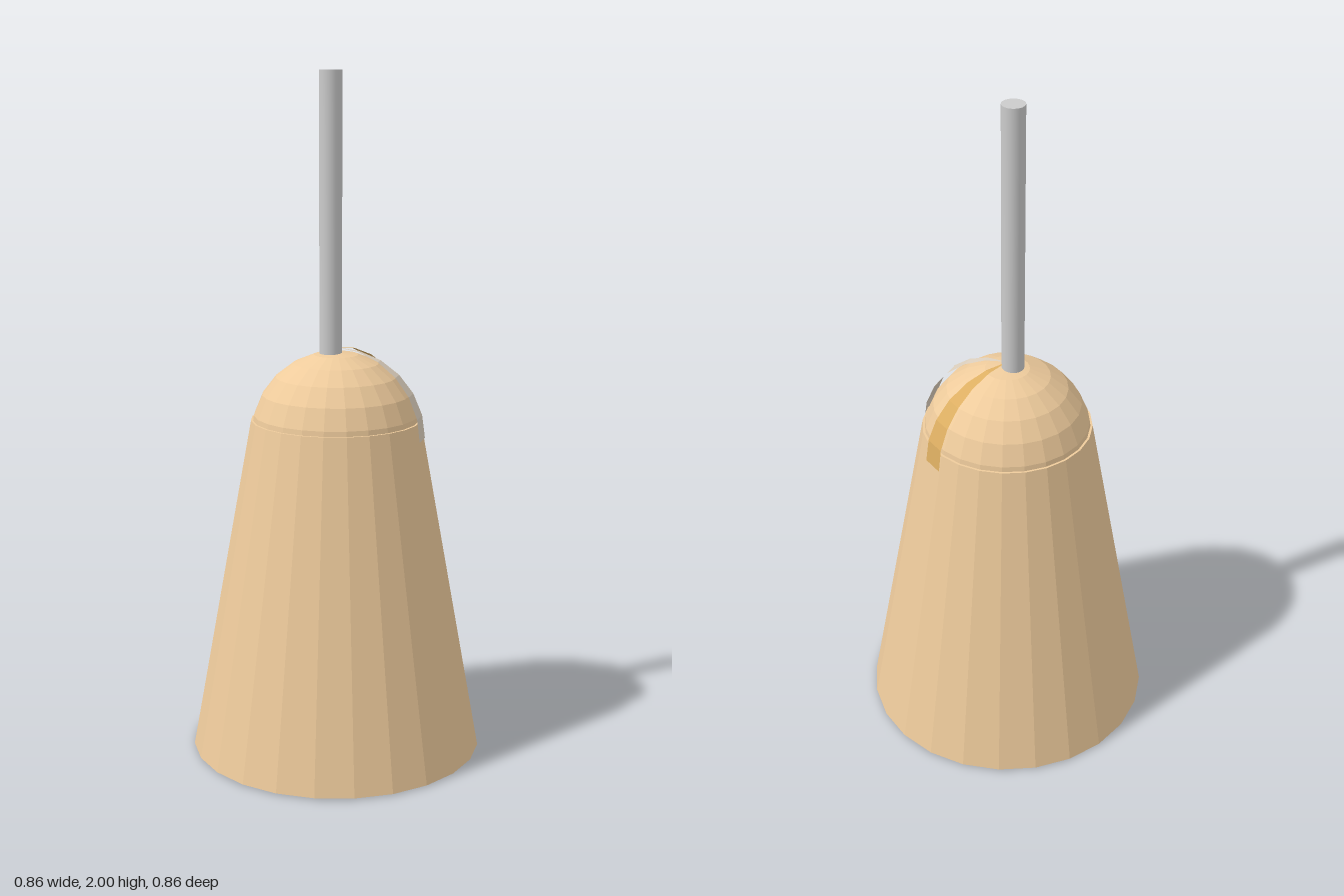
import * as THREE from 'three';

const SIDES = 24;
const TURN = THREE.MathUtils.degToRad(-3.3); // slight twist shared by all faceted parts

function part(name, geometry, color, options = {}) {
  const mesh = new THREE.Mesh(geometry, new THREE.MeshStandardMaterial({ color, ...options }));
  mesh.name = name;
  return mesh;
}

export function createModel() {
  const model = new THREE.Group();
  const tan = 0xeecb9c;

  // Tapered body with a flat underside
  const body = part('body', new THREE.CylinderGeometry(0.25, 0.432, 0.997, SIDES), tan, { flatShading: true });
  body.position.y = 0.003 + 0.997 / 2;
  body.rotation.y = TURN;
  model.add(body);

  // Faceted half-sphere cap
  const dome = part('dome',
    new THREE.SphereGeometry(0.25, SIDES, 6, 0, Math.PI * 2, 0, Math.PI / 2), tan, { flatShading: true });
  dome.position.y = 0.95;
  dome.rotation.y = TURN;
  model.add(dome);

  // Narrow strips, one facet wide, curving from the apex over the dome
  const arc = [];
  for (let i = 0; i <= 6; i++) {
    const a = (i / 6) * Math.PI / 2;
    arc.push(new THREE.Vector2(0.262 * Math.sin(a), 0.262 * Math.cos(a)));
  }
  const step = (Math.PI * 2) / SIDES;
  for (const [name, facet, color] of [['paleStrip', 7, 0xdccfbd], ['goldStrip', 11, 0xdcae62]]) {
    const strip = part(name, new THREE.LatheGeometry(arc, 1, TURN + facet * step, step), color,
      { flatShading: true, side: THREE.DoubleSide });
    strip.position.y = 0.95;
    model.add(strip);
  }

  // Upright rod, set a little off centre
  const rod = part('rod', new THREE.CylinderGeometry(0.033, 0.033, 0.805, 24), 0xcccccc);
  rod.position.set(-0.011, 1.195 + 0.805 / 2, 0.011);
  model.add(rod);

  // Dark base pad and the small disc on it
  const pad = part('basePad', new THREE.CylinderGeometry(0.375, 0.375, 0.003, 32), 0x7a6a66);
  pad.position.y = 0.0025;
  const spot = part('baseSpot', new THREE.CylinderGeometry(0.06, 0.06, 0.002, 20), 0x76807a);
  spot.position.set(-0.12, 0.001, -0.12);
  model.add(pad, spot);

  return model;
}
